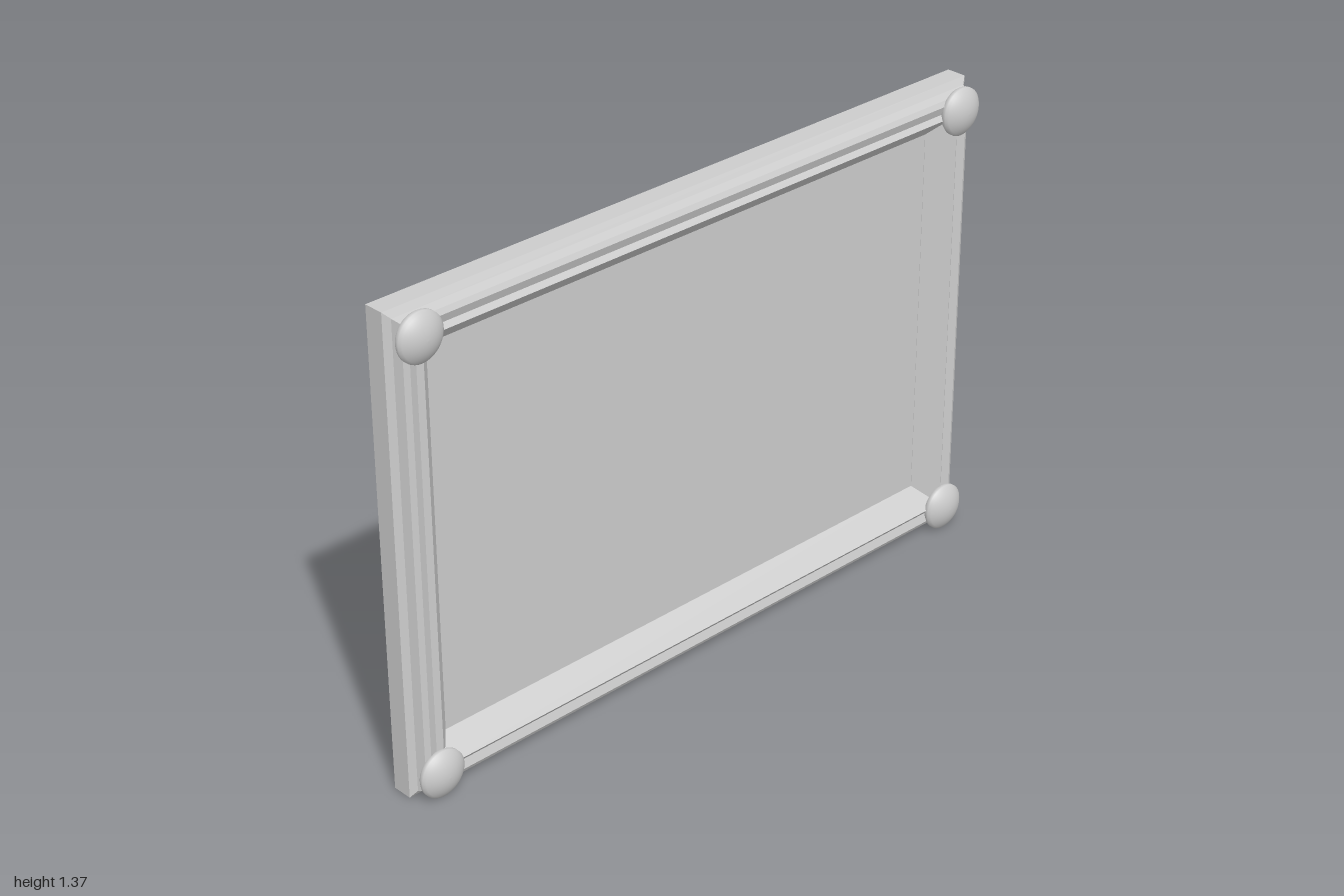
import * as THREE from 'three';

const W = 1, H = 1.365; // half width, full height
const material = new THREE.MeshStandardMaterial({ color: 0xcccccc });

// Moulding cross-section: [inset from outer edge, z], from outer back round to inner back
const PROFILE = [
  [0, -0.07], [0, -0.012], [0.018, 0], [0.026, 0.025], [0.04, 0.033],
  [0.064, 0.025], [0.078, 0.036], [0.135, -0.025], [0.135, -0.07],
];

// Sweeps the cross-section round the rectangle with mitred corners
function mouldingGeometry() {
  const corner = (i, [inset, z]) => {
    const sx = i === 1 || i === 2 ? 1 : -1;
    return [sx * (W - inset), i >= 2 ? H - inset : inset, z];
  };
  const pos = [];
  for (let side = 0; side < 4; side++) {
    const next = (side + 1) % 4;
    PROFILE.forEach((p, k) => {
      const q = PROFILE[(k + 1) % PROFILE.length];
      const a = corner(side, p), b = corner(next, p);
      const c = corner(next, q), d = corner(side, q);
      pos.push(...a, ...b, ...c, ...a, ...c, ...d);
    });
  }
  const geo = new THREE.BufferGeometry();
  geo.setAttribute('position', new THREE.Float32BufferAttribute(pos, 3));
  geo.computeVertexNormals();
  return geo;
}

// Shallow domed stud, axis turned to +z
function studGeometry() {
  const pts = [[0, 0.026], [0.063, 0.026], [0.063, 0.026], [0.068, 0.034], [0.068, 0.043]];
  const profile = pts.map(([r, z]) => new THREE.Vector2(r, z));
  // Spherical cap, 0.068 wide and 0.027 high
  const R = (0.068 ** 2 + 0.027 ** 2) / (2 * 0.027);
  const span = Math.asin(0.068 / R);
  for (let i = 1; i <= 8; i++) {
    const t = span * (1 - i / 8);
    profile.push(new THREE.Vector2(R * Math.sin(t), 0.07 - R + R * Math.cos(t)));
  }
  return new THREE.LatheGeometry(profile, 40).rotateX(Math.PI / 2);
}

export function createModel() {
  const model = new THREE.Group();
  model.name = 'pictureFrame';
  const add = (name, geo, x = 0, y = 0, z = 0) => {
    const mesh = new THREE.Mesh(geo, material);
    mesh.name = name;
    mesh.position.set(x, y, z);
    model.add(mesh);
  };

  add('moulding', mouldingGeometry());

  // Panel, recessed from both faces
  add('panel', new THREE.BoxGeometry(1.73, H - 0.27, 0.02), 0, H / 2, -0.036);

  // Studs on the four corners
  const stud = studGeometry();
  for (const [xName, x] of [['Right', -0.932], ['Left', 0.932]])
    for (const [yName, y] of [['bottom', 0.068], ['top', H - 0.068]])
      add(`${yName}${xName}Stud`, stud, x, y);

  return model;
}
